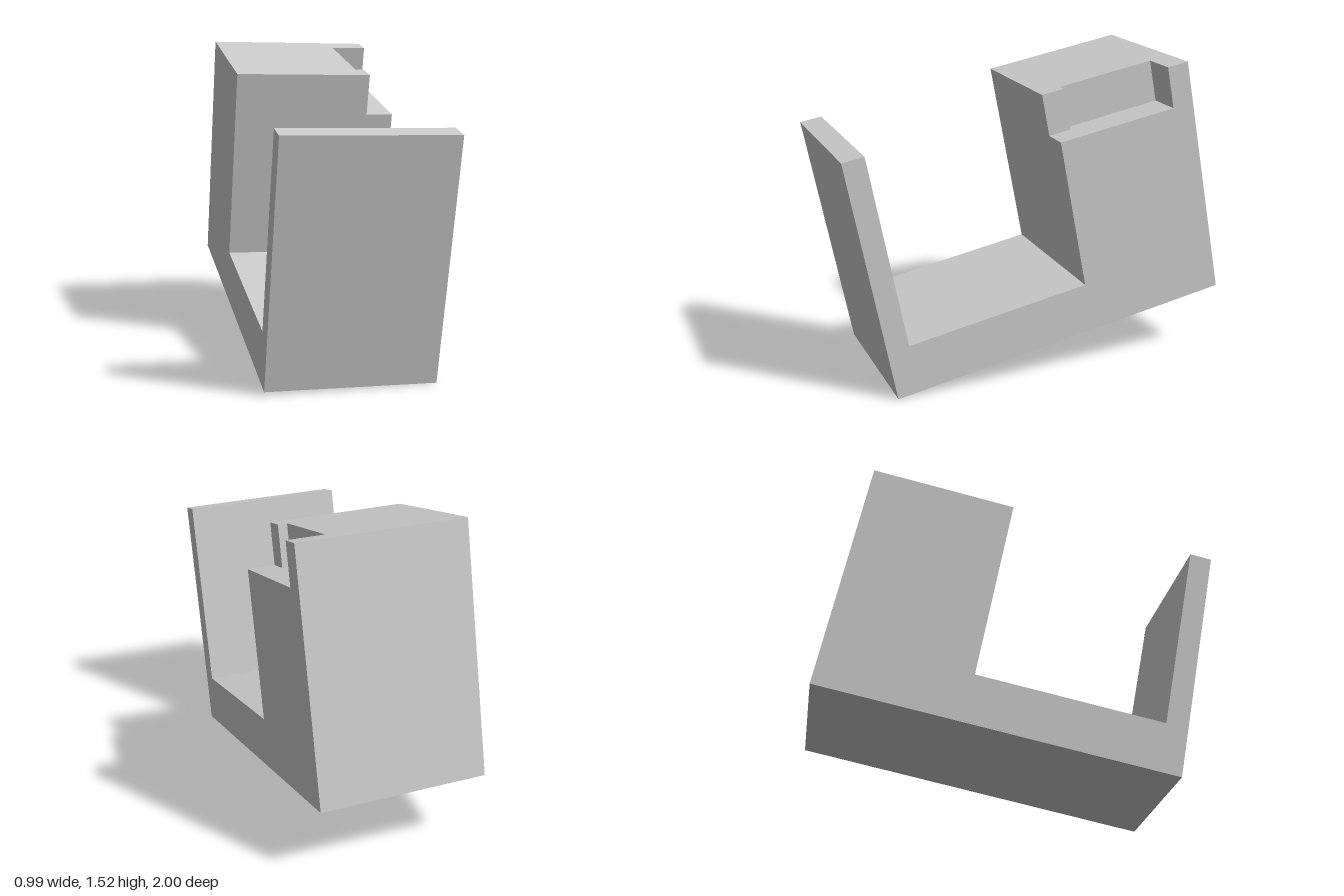
import * as THREE from 'three';

const W = 0.807, L = 1.725, H = 1.19;   // width, depth, height
const WALL = 0.107, FLOOR = 0.246;      // wall thickness, base thickness
const BLOCK = 1.02, LEDGE = 0.986;      // start of rear block, height of notch floor

const shapeOf = (points) => new THREE.Shape(points.map(([x, y]) => new THREE.Vector2(x, y)));
const extrude = (points, depth) =>
  new THREE.ExtrudeGeometry(shapeOf(points), { depth, bevelEnabled: false });

export function createModel() {
  const material = new THREE.MeshStandardMaterial({ color: 0xcccccc, flatShading: true });
  const model = new THREE.Group();
  model.name = 'bracket';

  // U-shaped body: side profile (distance from front, height) swept across the width
  const bodyGeometry = extrude([
    [0, 0], [L, 0], [L, LEDGE], [BLOCK, LEDGE],
    [BLOCK, FLOOR], [WALL, FLOOR], [WALL, H], [0, H],
  ], W).rotateY(Math.PI / 2).translate(-W / 2, 0, L / 2);
  const body = new THREE.Mesh(bodyGeometry, material);
  body.name = 'body';

  // Top of the rear block: plan (across, distance from front) with side notch and small lip
  const edge = W / 2, inner = edge - 0.179, lip = edge - 0.134;
  const capGeometry = extrude([
    [-edge, BLOCK], [lip, BLOCK], [lip, BLOCK + 0.11], [inner, BLOCK + 0.11],
    [inner, L - WALL], [edge, L - WALL], [edge, L], [-edge, L],
  ], H - LEDGE).rotateX(-Math.PI / 2).translate(0, LEDGE, L / 2);
  const cap = new THREE.Mesh(capGeometry, material);
  cap.name = 'notchedTop';

  // The whole part leans forward and is turned slightly
  model.add(body, cap);
  model.rotation.set(0.198, -0.107, 0);
  model.position.set(-0.002, 0.177, -0.116);

  const root = new THREE.Group();
  root.name = 'tiltedBracket';
  root.add(model);
  return root;
}
